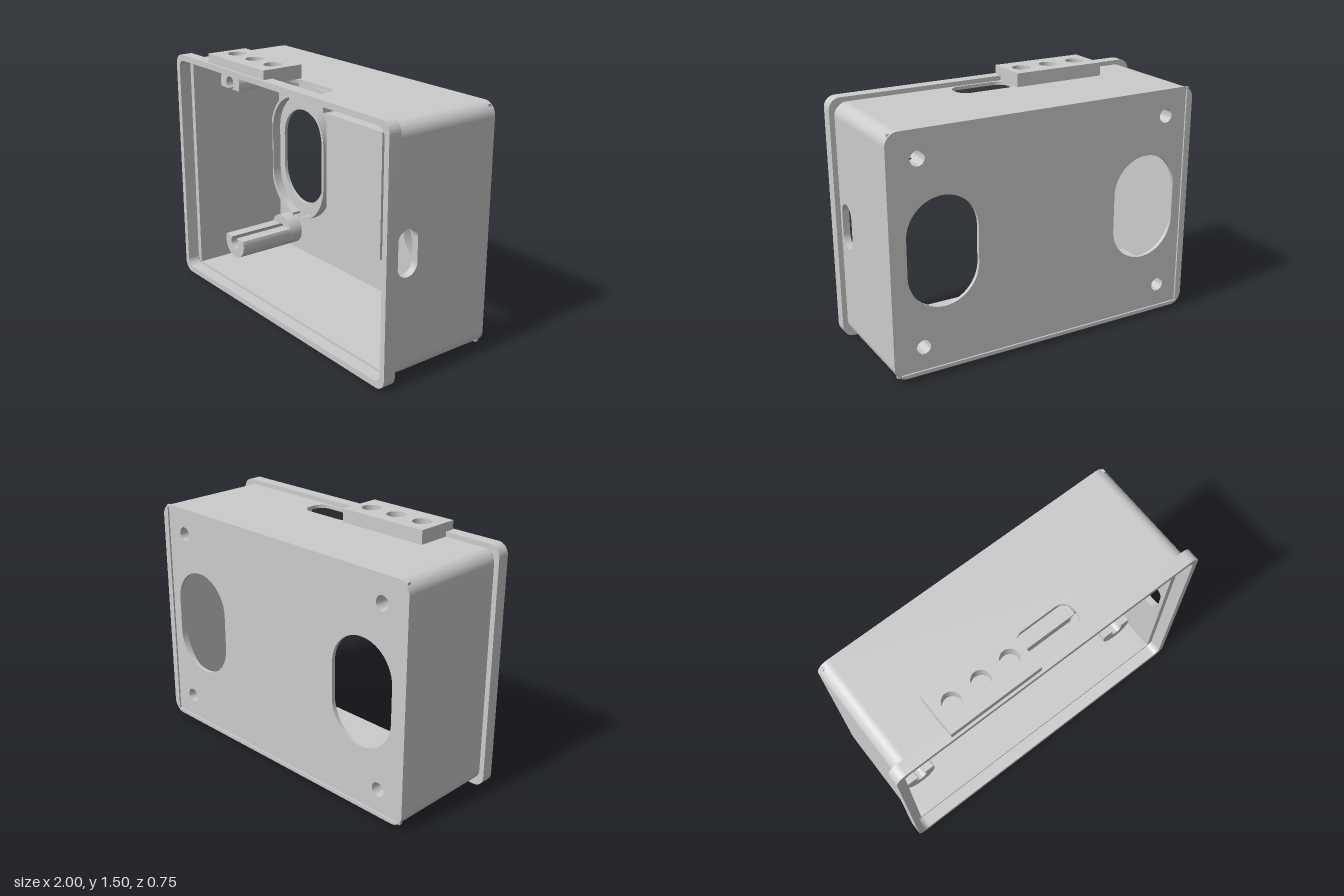
import * as THREE from 'three';
import { toCreasedNormals } from 'three/addons/utils/BufferGeometryUtils.js';

const material = new THREE.MeshStandardMaterial({ color: 0xcccccc, side: THREE.DoubleSide });

// Rounded rectangle between two corners; a large radius gives a slot
function roundRect(x0, y0, x1, y1, r, Type = THREE.Shape) {
  const p = new Type();
  p.moveTo(x0 + r, y0);
  p.lineTo(x1 - r, y0);
  p.absarc(x1 - r, y0 + r, r, -Math.PI / 2, 0, false);
  p.lineTo(x1, y1 - r);
  p.absarc(x1 - r, y1 - r, r, 0, Math.PI / 2, false);
  p.lineTo(x0 + r, y1);
  p.absarc(x0 + r, y1 - r, r, Math.PI / 2, Math.PI, false);
  p.lineTo(x0, y0 + r);
  p.absarc(x0 + r, y0 + r, r, Math.PI, Math.PI * 1.5, false);
  return p;
}
const hole = (...a) => roundRect(...a, THREE.Path);
const rect = (x0, y0, x1, y1) => new THREE.Shape([[x0, y0], [x1, y0], [x1, y1], [x0, y1]].map(p => new THREE.Vector2(...p)));
function circle(x, y, r, Type = THREE.Path) {
  const p = new Type();
  p.absarc(x, y, r, 0, Math.PI * 2, false);
  return p;
}

export function createModel() {
  const group = new THREE.Group();
  const add = (name, geometry) => {
    const mesh = new THREE.Mesh(geometry, material);
    mesh.name = name;
    group.add(mesh);
    return mesh;
  };
  // Extrude from level a to level b along z, y (shape is x, -z) or x (shape is -z, y)
  const extrude = (name, shape, a, b, axis = 'z') => {
    let g = new THREE.ExtrudeGeometry(shape, { depth: b - a, bevelEnabled: false, curveSegments: 14 });
    g.translate(0, 0, a);
    if (axis === 'y') g.rotateX(-Math.PI / 2);
    if (axis === 'x') g.rotateY(Math.PI / 2);
    g = toCreasedNormals(g, 0.5);
    return add(name, g);
  };
  const box = (name, x0, x1, y0, y1, z0, z1) =>
    add(name, new THREE.BoxGeometry(x1 - x0, y1 - y0, z1 - z0).translate((x0 + x1) / 2, (y0 + y1) / 2, (z0 + z1) / 2));

  const X = 0.97, Y0 = 0.03, Y1 = 1.42, ZB = -0.375, ZF = 0.3;
  const R = 0.075, XI = 0.93, YI0 = 0.052, YI1 = 1.4;
  const screws = [[-0.79, 0.19], [0.79, 0.19], [-0.79, 1.26], [0.79, 1.26]];

  // Walls
  box('rightWall', -X, -XI, Y0 + R, Y1 - R, ZB, ZF);
  box('bottomWall', -X + R, X - R, Y0, YI0, ZB, ZF);
  const side = rect(-ZF, Y0 + R, -ZB, Y1 - R);
  side.holes.push(hole(-0.275, 0.595, -0.14, 0.86, 0.067));
  extrude('leftWall', side, XI, X, 'x');
  const top = rect(-X + R, -ZF, X - R, -ZB);
  top.holes.push(hole(-0.08, -0.285, 0.285, -0.12, 0.07));
  extrude('topWall', top, YI1, Y1, 'y');

  // Rounded wall corners
  for (const sx of [-1, 1]) for (const up of [false, true]) {
    const sy = up ? 1 : -1, yo = up ? Y1 : Y0, yi = up ? YI1 : YI0;
    const pts = [];
    for (let i = 0; i <= 12; i++) {
      const a = (i / 12) * Math.PI / 2;
      pts.push(new THREE.Vector2(sx * (X - R + R * Math.cos(a)), yo - sy * R + sy * R * Math.sin(a)));
    }
    pts.push(new THREE.Vector2(sx * (X - R), yi), new THREE.Vector2(sx * XI, yi), new THREE.Vector2(sx * XI, yo - sy * R));
    extrude('wallCorner', new THREE.Shape(pts), ZB, ZF);
  }

  // Front rim with a stepped opening
  const rim = roundRect(-1, 0, 1, 1.447, 0.065);
  rim.holes.push(hole(-0.965, 0.037, 0.965, 1.412, 0.05));
  extrude('frontRim', rim, ZF, 0.375);

  // Slightly recessed back plate with two large windows and screw holes
  const plate = rect(-0.95, 0.04, 0.95, 1.41);
  for (const s of [-1, 1]) {
    plate.holes.push(hole(s * 0.657 - 0.2125, 0.405, s * 0.657 + 0.2125, 1.04, 0.212));
  }
  for (const [x, y] of screws) plate.holes.push(circle(x, y, 0.042));
  extrude('backPlate', plate, -0.365, -0.343);
  box('centreBlock', -0.265, 0.257, 0.33, 1.12, -0.345, -0.228);

  // Thin collars around the windows, open at the bottom
  const P = Math.PI, ro = 0.285, ri = 0.267, s = 0.135, gap = 0.18;
  const collar = new THREE.Shape();
  collar.absarc(0, -s, ro, -P / 2 + gap, 0, false);
  collar.absarc(0, s, ro, 0, P, false);
  collar.absarc(0, -s, ro, P, P * 1.5 - gap, false);
  collar.absarc(0, -s, ri, P * 1.5 - gap, P, true);
  collar.absarc(0, s, ri, P, 0, true);
  collar.absarc(0, -s, ri, 0, -P / 2 + gap, true);
  for (const x of [-0.655, 0.655]) extrude('windowCollar', collar, -0.345, -0.285).position.set(x, 0.728, 0);

  // Screw posts: full base, then a cut-away front with an open groove
  const rp = 0.105, rh = 0.042, cut = 0.035;
  const ap = Math.asin(cut / rp), ah = Math.asin(cut / rh);
  const half = new THREE.Shape();
  half.absarc(0, 0, rp, ap, P - ap, true);
  half.absarc(0, 0, rh, P - ah, ah, false);
  const base = circle(0, 0, rp, THREE.Shape);
  base.holes.push(circle(0, 0, rh));
  for (const [x, y] of screws) {
    extrude('postBase', base, -0.345, -0.25).position.set(x, y, 0);
    const front = extrude('postFront', half, -0.25, 0.125);
    front.position.set(x, y, 0);
    if (y > 1) front.rotation.z = P;
  }

  // Block with three holes on top
  const tab = rect(-0.645, -0.36, -0.07, -0.1);
  for (const x of [-0.54, -0.355, -0.17]) tab.holes.push(circle(x, -0.225, 0.055));
  extrude('topBlock', tab, 1.42, 1.5, 'y');

  // Trough hanging under the top slot
  const trough = roundRect(-0.09, 1.355, 0.295, 1.43, 0.03);
  const outline = trough.getPoints(8).map(p => new THREE.Vector2(p.x, Math.min(p.y, 1.402)));
  const inner = outline.map(p => new THREE.Vector2(0.1025 + (p.x - 0.1025) * 0.93, Math.max(p.y, 1.37)));
  const low = pts => pts.filter(p => p.y < 1.4015).sort((a, b) => a.x - b.x || b.y - a.y);
  const left = [new THREE.Vector2(-0.09, 1.402), ...low(outline), new THREE.Vector2(0.295, 1.402)];
  const right = [new THREE.Vector2(0.281, 1.402), ...low(inner).reverse(), new THREE.Vector2(-0.076, 1.402)];
  // Keep the right-hand side rising toward the wall
  const rise = (pts, dir) => pts.filter((p, i) => i === 0 || p.distanceTo(pts[i - 1]) > 1e-5)
    .sort((a, b) => dir * (a.x - b.x) || (a.x < 0.1 ? dir : -dir) * (b.y - a.y));
  extrude('slotTrough', new THREE.Shape([...rise(left, 1), ...rise(right, -1)]), 0.115, 0.2);
  extrude('troughBack', new THREE.Shape(rise(left, 1)), 0.1, 0.115);
  box('troughBlock', -0.055, 0.26, 1.305, 1.356, 0.1, 0.2);

  return group;
}
